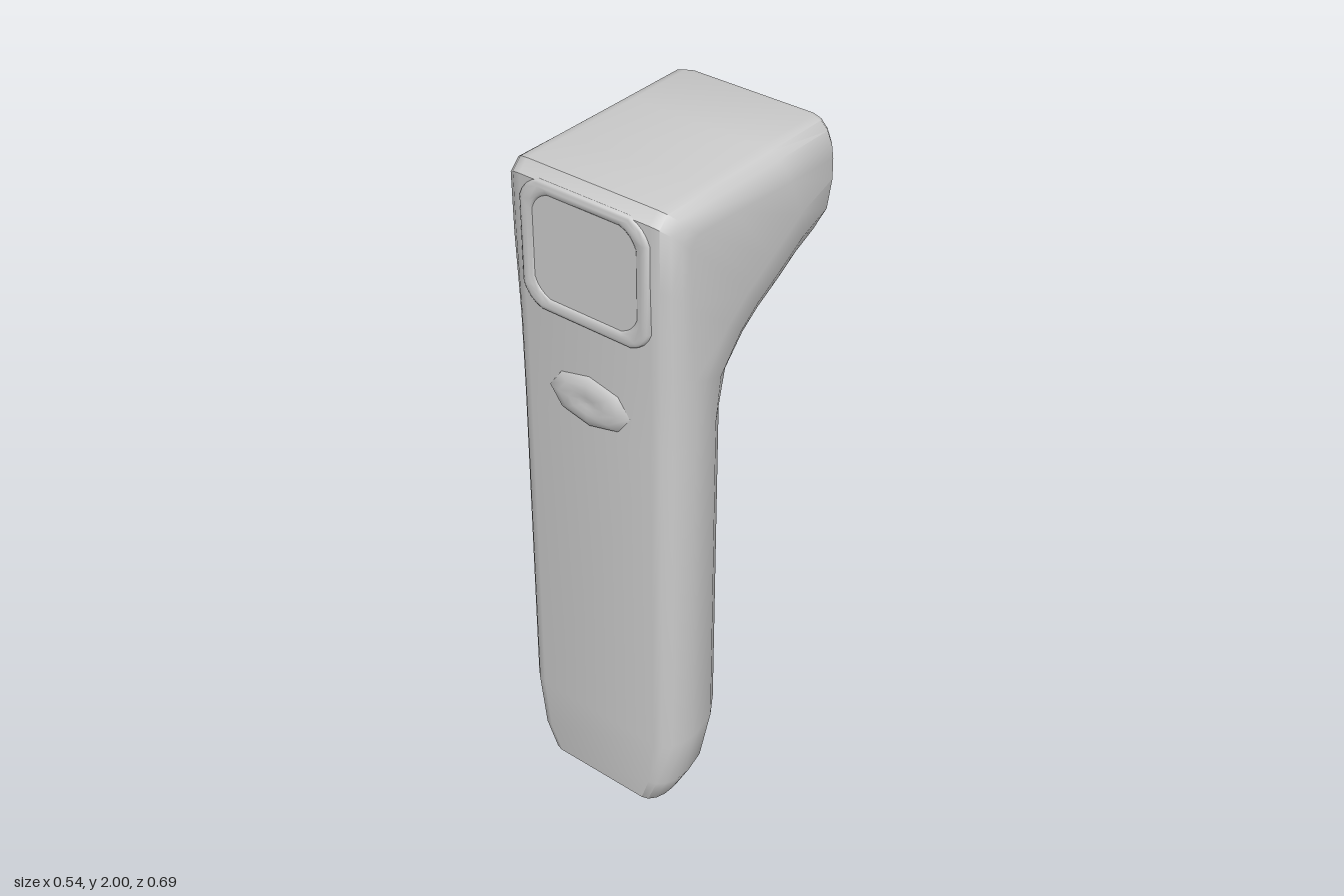
import * as THREE from 'three';
import { toCreasedNormals } from 'three/addons/utils/BufferGeometryUtils.js';

const grey = new THREE.MeshStandardMaterial({ color: 0xcccccc });

// Closed cross-section spanning from an outer to an inner point in the z-y plane,
// with a small rounding on the outer side and a broad one on the inner side.
function ring([oz, oy, iz, iy, hw], steps) {
  const len = Math.hypot(iz - oz, iy - oy);
  const cx = 0.25 * hw, cd = Math.min(0.1, 0.3 * len);
  const bx = 0.7 * hw, bd = Math.min(0.24, 0.62 * len);
  const half = [];
  for (let k = 0; k <= steps; k++) {
    const t = (k / steps) * Math.PI / 2;
    half.push([hw - cx * (1 - Math.sin(t)), cd * (1 - Math.cos(t))]);
  }
  for (let k = 0; k <= steps; k++) {
    const t = (k / steps) * Math.PI / 2;
    half.push([hw - bx * (1 - Math.cos(t)), len - bd * (1 - Math.sin(t))]);
  }
  const loop = [...half, ...half.slice().reverse().map(([x, d]) => [-x, d])];
  return loop.map(([x, d]) => [x, oy + (iy - oy) * d / len, oz + (iz - oz) * d / len]);
}

// Skin over a list of cross-sections, closed at both ends by a centre point
function loft(stations, start, end, steps, crease) {
  const rings = stations.map((s) => ring(s, steps));
  const n = rings[0].length, pos = [], idx = [];
  rings.forEach((r) => r.forEach((p) => pos.push(...p)));
  const first = pos.length / 3, last = first + 1, top = (rings.length - 1) * n;
  pos.push(...start, ...end);
  for (let i = 0; i < n; i++) {
    const j = (i + 1) % n;
    for (let k = 0; k < rings.length - 1; k++) {
      const a = k * n + i, b = k * n + j;
      idx.push(a, b, b + n, a, b + n, a + n);
    }
    idx.push(first, j, i, last, top + i, top + j);
  }
  const g = new THREE.BufferGeometry();
  g.setAttribute('position', new THREE.Float32BufferAttribute(pos, 3));
  g.setIndex(idx);
  return toCreasedNormals(g, crease);
}

// Rectangle with clipped, slightly rounded corners
function roundRect(Type, hw, y0, y1, r) {
  const s = new Type();
  s.moveTo(-hw + r, y0);
  s.lineTo(hw - r, y0);
  s.quadraticCurveTo(hw - r / 4, y0 + r / 4, hw, y0 + r);
  s.lineTo(hw, y1 - r);
  s.quadraticCurveTo(hw - r / 4, y1 - r / 4, hw - r, y1);
  s.lineTo(-hw + r, y1);
  s.quadraticCurveTo(-hw + r / 4, y1 - r / 4, -hw, y1 - r);
  s.lineTo(-hw, y0 + r);
  s.quadraticCurveTo(-hw + r / 4, y0 + r / 4, -hw + r, y0);
  return s;
}

export function createModel() {
  const group = new THREE.Group();
  const add = (name, geometry) => {
    const mesh = new THREE.Mesh(geometry, grey);
    mesh.name = name;
    group.add(mesh);
    return mesh;
  };

  // Handle bending into the head: outer z, outer y, inner z, inner y, half width
  const body = [
    [0.29, 0.025, 0.15, 0.014, 0.165],
    [0.323, 0.055, 0.065, 0.085, 0.205],
    [0.328, 0.14, 0.045, 0.15, 0.245],
    [0.328, 0.3, 0.015, 0.31, 0.27],
    [0.326, 1.3, 0.008, 1.34, 0.268],
    [0.326, 1.55, -0.02, 1.4, 0.269],
    [0.33, 1.8, -0.08, 1.46, 0.271],
    [0.33, 1.97, -0.14, 1.5, 0.271],
    [0.3, 2, -0.17, 1.515, 0.271],
    [0.15, 2, -0.22, 1.54, 0.271],
    [-0.1, 2, -0.28, 1.575, 0.271],
    [-0.315, 2, -0.325, 1.6, 0.271],
    [-0.337, 1.993, -0.338, 1.61, 0.255],
    [-0.343, 1.98, -0.343, 1.625, 0.24],
    // sensor recess in the back of the head
    [-0.341, 1.955, -0.341, 1.655, 0.212],
    [-0.315, 1.95, -0.315, 1.66, 0.207],
    [-0.25, 1.935, -0.25, 1.675, 0.175],
  ];
  add('body', loft(body, [0, 0.004, 0.21], [0, 1.81, -0.25], 4, 0.75));

  // Bulging sensor lens inside the recess
  add('sensorLens', loft([
    [-0.24, 1.935, -0.24, 1.68, 0.15],
    [-0.28, 1.925, -0.28, 1.69, 0.14],
    [-0.295, 1.9, -0.295, 1.715, 0.115],
  ], [0, 1.81, -0.24], [0, 1.81, -0.303], 2, 0.6));

  // Softly raised frame around the display
  const frame = roundRect(THREE.Shape, 0.205, 1.608, 1.975, 0.06);
  frame.holes.push(roundRect(THREE.Path, 0.163, 1.648, 1.94, 0.05));
  const frameGeometry = new THREE.ExtrudeGeometry(frame, {
    depth: 0.014, bevelThickness: 0.01, bevelSize: 0.015, bevelSegments: 3, bevelOffset: -0.015, curveSegments: 4,
  });
  add('displayFrame', toCreasedNormals(frameGeometry, 0.8)).position.z = 0.314;

  // Display panel
  const display = new THREE.ExtrudeGeometry(roundRect(THREE.Shape, 0.168, 1.645, 1.943, 0.05), {
    depth: 0.02, bevelEnabled: false, curveSegments: 4,
  });
  add('display', display).position.z = 0.312;

  // Eight-sided button with a shallow dish
  const profile = [[1, -0.008], [0.96, 0.004], [0.7, 0.014], [0.42, 0.017], [0.2, 0.013], [0, 0.012]];
  const button = new THREE.LatheGeometry(profile.map(([r, h]) => new THREE.Vector2(r, h)), 8);
  button.rotateX(Math.PI / 2).scale(0.136, 0.077, 1);
  add('button', button).position.set(0, 1.385, 0.326);

  return group;
}
